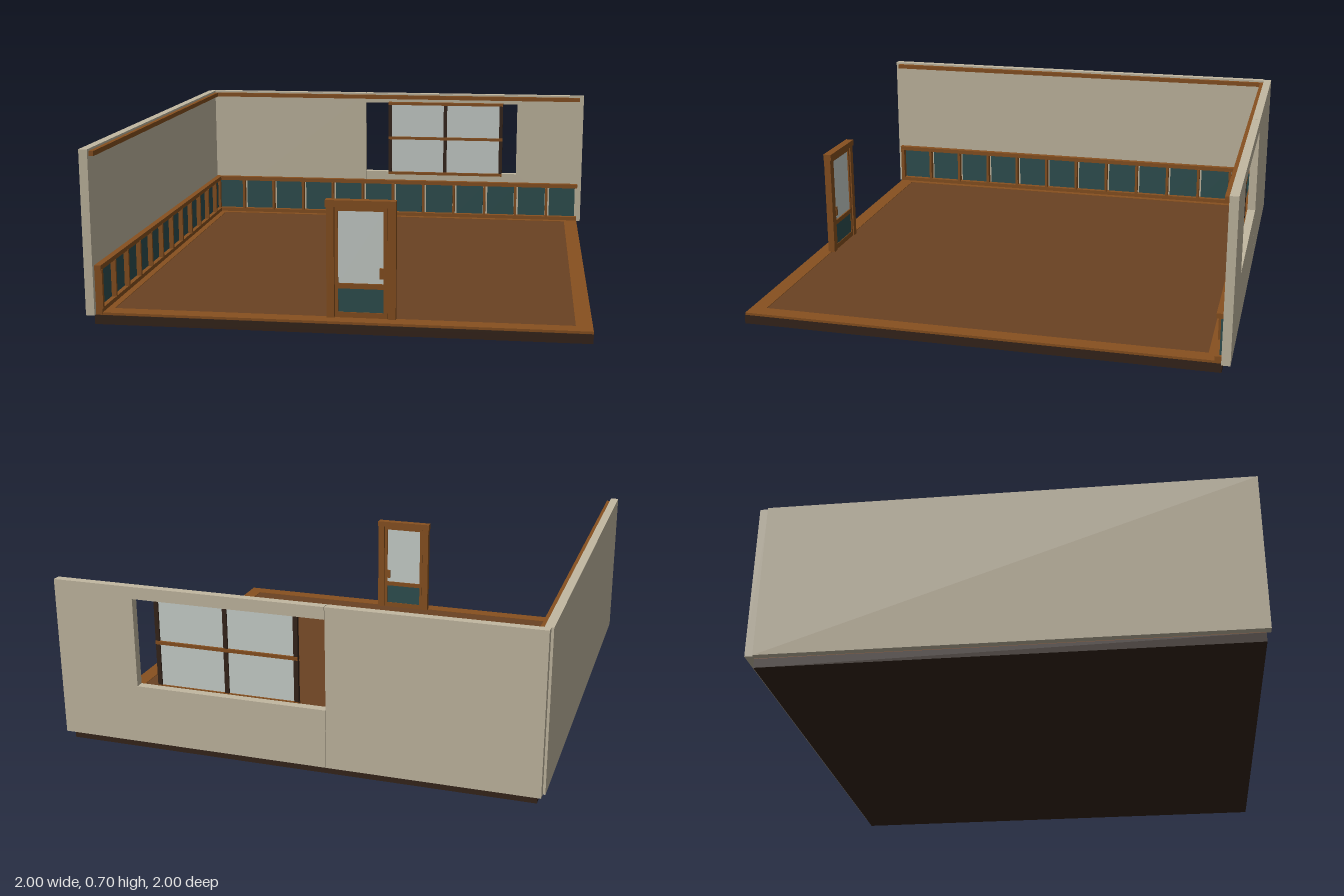
import * as THREE from 'three';

const mat = (name, color) => {
  const m = new THREE.MeshStandardMaterial({ color });
  m.name = name;
  return m;
};

export function createModel() {
  const wall = mat('plaster', 0xc2b8a1);
  const trim = mat('warmWood', 0x87501f);
  const floor = mat('floorWood', 0x6a4223);
  const teal = mat('tealPanel', 0x2e4f50);
  const glass = mat('paleGlass', 0xcad1cc);
  const dark = mat('darkWood', 0x35241a);

  const room = new THREE.Group();
  room.name = 'room';
  const group = (name) => {
    const g = new THREE.Group();
    g.name = name;
    room.add(g);
    return g;
  };
  // box given by its limits on each axis
  const box = (parent, name, m, x0, x1, y0, y1, z0, z1) => {
    const b = new THREE.Mesh(new THREE.BoxGeometry(x1 - x0, y1 - y0, z1 - z0), m);
    b.position.set((x0 + x1) / 2, (y0 + y1) / 2, (z0 + z1) / 2);
    b.name = name;
    parent.add(b);
    return b;
  };

  // floor slab, border strips and boards
  const base = group('floor');
  box(base, 'slab', dark, -0.97, 0.98, 0, 0.038, -0.967, 0.983);
  box(base, 'floorBoards', floor, -0.91, 0.915, 0.038, 0.046, -0.91, 0.915);
  box(base, 'borderLeft', trim, -0.97, -0.91, 0.038, 0.048, -0.967, 0.98);
  box(base, 'borderRight', trim, 0.915, 0.98, 0.038, 0.048, -0.967, 0.98);
  box(base, 'borderBack', trim, -0.91, 0.915, 0.038, 0.048, -0.967, -0.91);
  box(base, 'borderFront', trim, -0.91, 0.915, 0.038, 0.048, 0.915, 0.98);

  // walls: plain left wall, back wall with a window opening
  const walls = group('walls');
  box(walls, 'sideWall', wall, -1, -0.965, 0.04, 0.705, -0.965, 1);
  box(walls, 'backWallPlain', wall, -0.99, -0.145, 0.04, 0.705, -1, -0.965);
  const outline = new THREE.Shape();
  outline.moveTo(-0.143, 0.04).lineTo(1, 0.04).lineTo(1, 0.705).lineTo(-0.143, 0.705)
    .lineTo(-0.143, 0.655).lineTo(0.657, 0.655).lineTo(0.657, 0.284).lineTo(-0.143, 0.284);
  const windowWall = new THREE.Mesh(
    new THREE.ExtrudeGeometry(outline, { depth: 0.035, bevelEnabled: false }), wall);
  windowWall.position.z = -1;
  windowWall.name = 'backWallWindow';
  walls.add(windowWall);

  // wainscot run along local x, standing out towards local +z
  const wainscot = (name, start, end) => {
    const g = group(name);
    box(g, 'baseboard', trim, start, end, 0.04, 0.066, 0, 0.027);
    box(g, 'chairRail', trim, start, end, 0.22, 0.24, 0, 0.027);
    box(g, 'crownRail', trim, start, end, 0.676, 0.696, 0, 0.018);
    const pitch = 0.1632;
    for (let i = -6; i <= 5; i++) {
      const a = i * pitch + 0.004;
      const x0 = Math.max(a + 0.015, start + 0.02);
      const x1 = Math.min(a + pitch - 0.008, end - 0.012);
      box(g, 'panel', teal, x0, x1, 0.068, 0.218, 0, 0.01);
      if (i > -6) box(g, 'stile', trim, a - 0.006, a + 0.006, 0.064, 0.222, 0, 0.03);
    }
    box(g, 'endStile', trim, start + 0.003, start + 0.02, 0.064, 0.222, 0, 0.03);
    return g;
  };
  wainscot('backWainscot', -0.963, 0.98).position.z = -0.965;
  const side = wainscot('sideWainscot', -0.983, 0.963);
  side.rotation.y = Math.PI / 2;
  side.position.x = -0.965;

  // window
  const win = group('window');
  box(win, 'windowGlass', glass, -0.015, 0.58, 0.275, 0.655, -0.957, -0.953);
  for (const x of [-0.012, 0.281, 0.574])
    box(win, 'windowPost', dark, x - 0.009, x + 0.009, 0.275, 0.655, -0.963, -0.947);
  for (const y of [0.28, 0.469, 0.653])
    box(win, 'windowRail', trim, -0.021, 0.583, y - 0.007, y + 0.007, -0.966, -0.942);

  // free standing door in its frame
  const door = group('door');
  box(door, 'jambLeft', trim, 0.192, 0.224, 0.04, 0.49, 0.9, 0.93);
  box(door, 'jambRight', trim, -0.048, -0.018, 0.04, 0.49, 0.9, 0.93);
  box(door, 'lintel', trim, -0.052, 0.224, 0.49, 0.517, 0.896, 0.932);
  box(door, 'doorStileLeft', trim, 0.175, 0.19, 0.046, 0.488, 0.905, 0.922);
  box(door, 'doorStileRight', trim, -0.016, -0.003, 0.046, 0.488, 0.905, 0.922);
  for (const [y0, y1] of [[0.046, 0.07], [0.165, 0.186], [0.474, 0.488]])
    box(door, 'doorRail', trim, -0.003, 0.175, y0, y1, 0.905, 0.922);
  box(door, 'doorGlass', glass, -0.003, 0.175, 0.186, 0.474, 0.911, 0.916);
  box(door, 'doorPanel', teal, -0.003, 0.175, 0.07, 0.165, 0.908, 0.919);
  box(door, 'handle', trim, 0.16, 0.177, 0.208, 0.25, 0.902, 0.927);

  return room;
}
